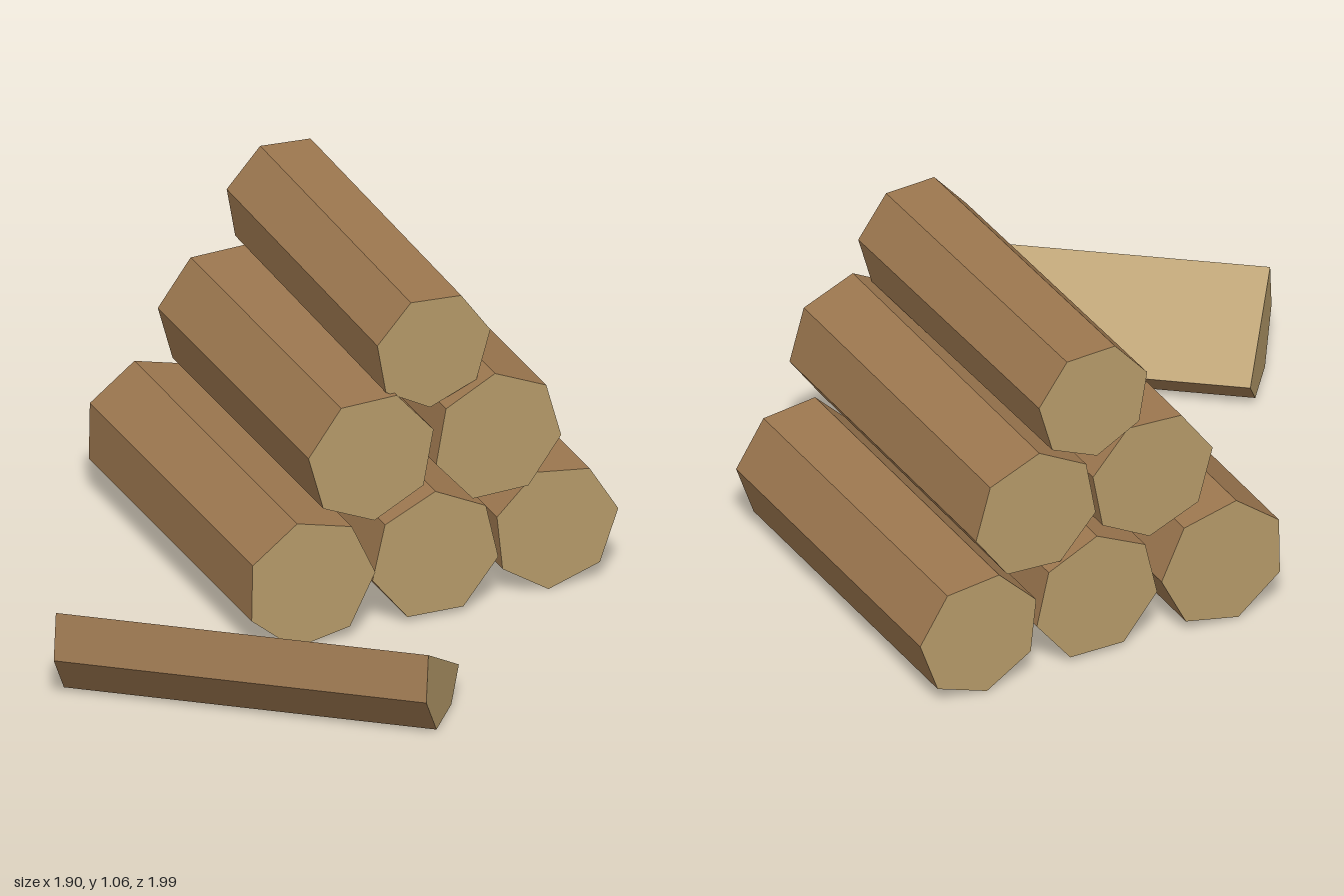
import * as THREE from 'three';

const bark = new THREE.MeshStandardMaterial({ color: 0x9c774f, flatShading: true });
const wood = new THREE.MeshStandardMaterial({ color: 0xb59a69, flatShading: true });

// Seven-sided log along z: centre x, y, radius, turn in degrees, back z, front z, tilt
const LOGS = [
  ['bottomLogRight', -0.08, 0.21, 0.211, -1, -1.0, 0.21, 0],
  ['bottomLogMiddle', 0.34, 0.21, 0.21, 90, -0.98, 0.18, 0],
  ['bottomLogLeft', 0.75, 0.205, 0.204, 6, -1.0, 0.14, 0],
  ['middleLogRight', 0.141, 0.561, 0.209, 15.4, -0.96, 0.16, 0],
  ['middleLogLeft', 0.546, 0.562, 0.209, -10.2, -0.98, 0.175, 0],
  ['topLog', 0.348, 0.881, 0.189, 10.2, -0.975, 0.145, 0.018],
];

function makeLog([name, x, y, radius, turn, back, front, tilt]) {
  const start = THREE.MathUtils.degToRad(turn + 90);
  const geometry = new THREE.CylinderGeometry(radius, radius, front - back, 7, 1, false, start);
  geometry.rotateX(Math.PI / 2);
  const log = new THREE.Mesh(geometry, [bark, wood, wood]);
  log.name = name;
  log.position.set(x, y, (front + back) / 2);
  log.rotation.x = tilt;
  return log;
}

// Log split lengthwise, its sloping cut face upward
function makeSplitLog() {
  const section = [[0, 0.1], [0.09, 0.01], [0.267, 0.01], [0.388, 0.155], [0.363, 0.302]];
  const shape = new THREE.Shape(section.map(([u, v]) => new THREE.Vector2(u, v)));
  const geometry = new THREE.ExtrudeGeometry(shape, { depth: 1.148, bevelEnabled: false });
  // the last side wall is the cut face, which shows bare wood
  const sides = geometry.groups[1];
  sides.count -= 6;
  geometry.addGroup(sides.start + sides.count, 6, 0);
  const log = new THREE.Mesh(geometry, [wood, bark]);
  log.name = 'splitLog';
  log.position.set(0.195, 0, 0.685);
  log.rotation.y = Math.atan2(-0.786, -0.618);
  return log;
}

export function createModel() {
  const model = new THREE.Group();
  model.name = 'logPile';
  LOGS.forEach((log) => model.add(makeLog(log)));
  model.add(makeSplitLog());
  return model;
}
